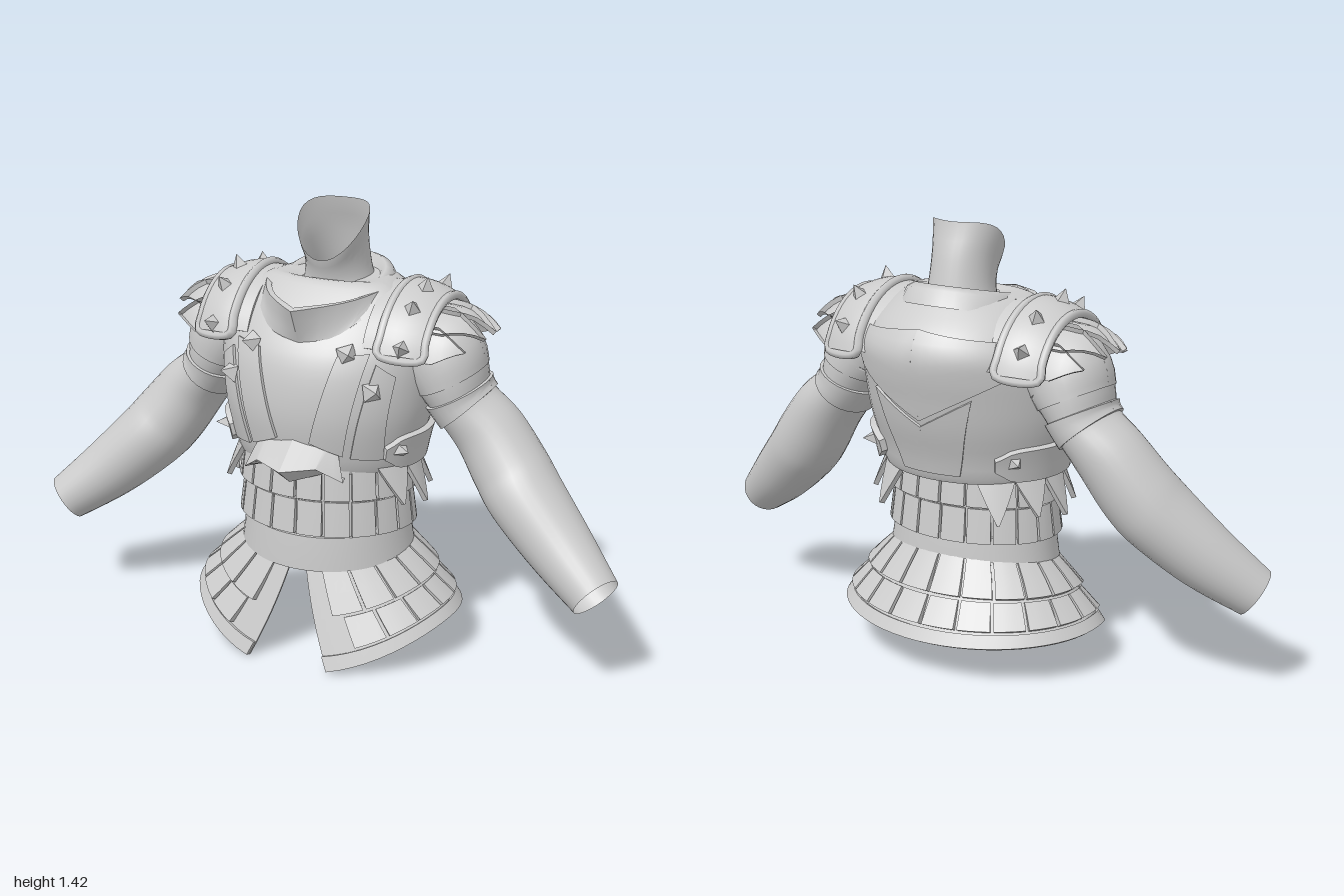
import * as THREE from 'three';
import { toCreasedNormals } from 'three/addons/utils/BufferGeometryUtils.js';

const V = (x, y, z) => new THREE.Vector3(x, y, z);
const lerp = THREE.MathUtils.lerp, clamp = THREE.MathUtils.clamp;
const material = new THREE.MeshStandardMaterial({ color: 0xcccccc, side: THREE.DoubleSide });

// Smooth interpolation through rows of numbers, t in 0..1
function at(rows, t) {
  const n = rows.length - 1, s = clamp(t, 0, 1) * n, i = Math.min(Math.floor(s), n - 1), f = s - i;
  const r = k => rows[clamp(k, 0, n)];
  return rows[0].map((_, c) => {
    const a = r(i - 1)[c], b = r(i)[c], d = r(i + 1)[c], e = r(i + 2)[c];
    return b + 0.5 * f * (d - a + f * (2 * a - 5 * b + 4 * d - e + f * (3 * (b - d) + e - a)));
  });
}

// Grid surface from f(i, j)
function lattice(f, nu, nv) {
  const pos = [], index = [];
  for (let j = 0; j <= nv; j++) for (let i = 0; i <= nu; i++) pos.push(...f(i, j).toArray());
  for (let j = 0; j < nv; j++) for (let i = 0; i < nu; i++) {
    const a = j * (nu + 1) + i, b = a + 1, c = a + nu + 1, d = c + 1;
    index.push(a, b, d, a, d, c);
  }
  const g = new THREE.BufferGeometry();
  g.setAttribute('position', new THREE.Float32BufferAttribute(pos, 3));
  g.setIndex(index);
  return toCreasedNormals(g, 0.6);
}
const sheet = (f, nu, nv) => lattice((i, j) => f(i / nu, j / nv), nu, nv);

function normalAt(f, u, v) {
  const e = 0.01;
  const du = f(Math.min(u + e, 1), v).sub(f(Math.max(u - e, 0), v));
  const dv = f(u, Math.min(v + e, 1)).sub(f(u, Math.max(v - e, 0)));
  return du.cross(dv).normalize();
}

// Plate raised by h above surface f, with side walls down to the base offset
function panel(f, nu, nv, h, base = -0.006) {
  const height = typeof h === 'function' ? h : () => h;
  return lattice((i, j) => {
    const u = clamp((i - 1) / nu, 0, 1), v = clamp((j - 1) / nv, 0, 1);
    const edge = i === 0 || j === 0 || i === nu + 2 || j === nv + 2;
    return f(u, v).addScaledVector(normalAt(f, u, v), edge ? base : height(u, v));
  }, nu + 2, nv + 2);
}
const sub = (f, u0, u1, v0, v1) => (u, v) => f(lerp(u0, u1, u), lerp(v0, v1, v));

// Oval ring surfaces: rows of y, half width, front z, back z, and an optional drop towards the front
const ringPoint = ([y, w, zf, zb, drop = 0], a) => {
  const c = Math.cos(a);
  return V(w * Math.sin(a), y - drop * c, (c > 0 ? zf : -zb) * c);
};
const TAU = Math.PI * 2;
const chestRows = [[0.66, 0.26, 0.19, -0.19], [0.64, 0.295, 0.225, -0.245], [0.72, 0.315, 0.25, -0.27],
  [0.82, 0.34, 0.265, -0.305], [0.92, 0.35, 0.26, -0.33], [1.0, 0.35, 0.24, -0.35], [1.06, 0.34, 0.205, -0.355],
  [1.12, 0.305, 0.16, -0.325], [1.18, 0.245, 0.1, -0.26], [1.21, 0.18, 0.06, -0.215], [1.2, 0.09, 0.03, -0.16]];
const chestAtY = y => {
  let i = 1;
  while (i < 8 && chestRows[i + 1][0] < y) i++;
  const f = (y - chestRows[i][0]) / (chestRows[i + 1][0] - chestRows[i][0]);
  return at(chestRows, (i + f) / (chestRows.length - 1));
};
const onChest = (x, y, back) => {
  const [, w, zf, zb] = chestAtY(y);
  return V(x, y, Math.sqrt(Math.max(0, 1 - (x / w) ** 2)) * (back ? zb : zf));
};
// Four-cornered patch on the chest: lower left, lower right, upper right, upper left
const chestPatch = (q, back) => (u, v) => onChest(
  lerp(lerp(q[0][0], q[1][0], u), lerp(q[3][0], q[2][0], u), v),
  lerp(lerp(q[0][1], q[1][1], u), lerp(q[3][1], q[2][1], u), v), back);

function stud(p, dir, r) {
  const g = new THREE.ConeGeometry(r, 0.045, 4).toNonIndexed();
  g.computeVertexNormals();
  g.translate(0, 0.016, 0);
  g.applyQuaternion(new THREE.Quaternion().setFromUnitVectors(V(0, 1, 0), dir.clone().normalize()));
  return g.translate(p.x, p.y, p.z);
}

function flipX(geometry) {
  const g = geometry.index ? geometry.toNonIndexed() : geometry.clone();
  g.scale(-1, 1, 1);
  for (const { array } of [g.attributes.position, g.attributes.normal])
    for (let i = 0; i < array.length; i += 9) for (let k = 0; k < 3; k++)
      [array[i + k], array[i + 6 + k]] = [array[i + 6 + k], array[i + k]];
  return g;
}

export function createModel() {
  const model = new THREE.Group();
  const add = (name, g) => {
    const m = new THREE.Mesh(g, material);
    m.name = name;
    model.add(m);
  };
  const pair = (name, g) => { add('left' + name, g); add('right' + name, flipX(g)); };

  // Neck, open at its slanted top
  const neckRows = [[0.125, -0.075, 0.125], [0.103, -0.07, 0.112], [0.1, -0.055, 0.105], [0.115, -0.032, 0.098]];
  add('neck', sheet((u, v) => {
    const a = u * TAU, [rx, cz, rz] = at(neckRows, v);
    const top = 1.35 - 0.08 * Math.cos(a) + 0.045 * Math.sin(a) ** 2;
    return V(rx * Math.sin(a), lerp(1.14, top, v), cz + rz * Math.cos(a));
  }, 32, 10));
  const collarProfile = [[0.195, -0.045], [0.178, 0.005], [0.155, 0.02], [0.14, 0.01], [0.11, -0.03]];
  add('innerCollar', new THREE.LatheGeometry(collarProfile.map(p => new THREE.Vector2(...p)), 32)
    .rotateX(0.22).translate(0, 1.195, -0.06));

  // Breastplate
  add('breastplate', sheet((u, v) => ringPoint(at(chestRows, v), u * TAU), 48, 30));

  // Pointed front collar
  const collarTop = [[0, 1.165, 0.255], [0.12, 1.175, 0.15], [0.185, 1.19, 0.03], [0.185, 1.2, -0.08]];
  const collarLow = [[0, 1.055, 0.205], [0.1, 1.07, 0.18], [0.18, 1.125, 0.1], [0.2, 1.155, -0.05]];
  add('frontCollar', panel((u, v) => {
    const k = u * 2 - 1, lo = at(collarLow, Math.abs(k)), hi = at(collarTop, Math.abs(k));
    return V(lerp(lo[0], hi[0], v) * Math.sign(k), lerp(lo[1], hi[1], v), lerp(lo[2], hi[2], v));
  }, 20, 3, 0.012));

  // Raised chest, back and waist-flap plates
  pair('BellyPlate', panel(chestPatch([[0.055, 0.75], [0.15, 0.71], [0.22, 1.03], [0.13, 1.02]]), 5, 8, 0.01));
  pair('FlankPlate', panel(chestPatch([[0.17, 0.7], [0.25, 0.69], [0.29, 0.96], [0.24, 1.0]]), 5, 8, 0.008));
  pair('BackYoke', panel(chestPatch([[0.27, 1.0], [0, 0.85], [0, 1.13], [0.25, 1.1]], true), 8, 8, 0.008));
  pair('BackPlate', panel(chestPatch([[0.1, 0.67], [0, 0.67], [0, 0.83], [0.17, 0.93]], true), 6, 6, 0.008));
  const flapIn = [[0, 0.755, 0.25], [0.1, 0.735, 0.235], [0.135, 0.725, 0.22]];
  const flapOut = [[0, 0.675, 0.352], [0.1, 0.685, 0.305], [0.17, 0.635, 0.255]];
  const flapBack = [[0, 0.62, 0.28], [0.1, 0.645, 0.22], [0.15, 0.63, 0.2]];
  const flapPoint = (rows, u) => {
    const i = u < 0.5 ? 0 : 1;
    return V(...rows[i]).lerp(V(...rows[i + 1]), u * 2 - i);
  };
  const flapRows = [flapBack, flapOut, flapIn];
  pair('WaistFlap', lattice((i, j) => flapPoint(flapRows[j], i / 6), 6, 2));

  // Side straps and chest studs
  const chestRound = (a, y) => ringPoint(chestAtY(y), a);
  pair('SideStrap', panel((u, v) => {
    const half = 0.05 * Math.max(0.35, 1 - Math.abs(u * 2 - 1) ** 8);
    return chestRound(lerp(0.95, 2.45, u), 0.715 + half * (v * 2 - 1));
  }, 20, 3, 0.02));
  for (const a of [1.12, 2.25]) {
    const p = chestRound(a, 0.72), d = V(p.x, 0, p.z * 1.4).normalize();
    pair('StrapStud', stud(p.addScaledVector(d, 0.02), d, 0.028));
  }
  for (const [x, y] of [[0.16, 1.03], [0.24, 0.92]]) {
    const p = onChest(x, y);
    pair('ChestStud', stud(p.addScaledVector(V(0, 0, 1), 0.01), V(x * 1.3, 0.1, 0.35), 0.038));
  }

  // Arms with sleeve and armband: x, y, z, radius in the arm's plane, radius across
  const armRows = [[0.27, 1.04, -0.05, 0.13, 0.13], [0.36, 0.99, -0.05, 0.135, 0.143], [0.4, 0.92, -0.055, 0.113, 0.143],
    [0.44, 0.845, -0.06, 0.093, 0.132], [0.525, 0.755, -0.06, 0.11, 0.122], [0.605, 0.65, -0.04, 0.12, 0.125],
    [0.67, 0.575, -0.012, 0.118, 0.128], [0.8, 0.455, 0.04, 0.104, 0.108], [0.938, 0.345, 0.105, 0.08, 0.082]];
  const arm = (u, v) => {
    const p = at(armRows, v), q0 = at(armRows, v - 0.04), q1 = at(armRows, v + 0.04);
    const t = V(q1[0] - q0[0], q1[1] - q0[1], q1[2] - q0[2]).normalize();
    const b = V(0, 0, 1).addScaledVector(t, -t.z).normalize(), n = b.clone().cross(t);
    const a = -u * TAU;
    return V(p[0], p[1], p[2]).addScaledVector(n, p[3] * Math.cos(a)).addScaledVector(b, -p[4] * Math.sin(a));
  };
  pair('Arm', sheet(arm, 28, 40));
  pair('Sleeve', panel(sub(arm, 0, 1, 0.06, 0.25), 28, 6, 0.004));
  pair('Armband', panel(sub(arm, 0, 1, 0.32, 0.4), 28, 3, 0.01));

  // Shoulder guards: arched plate, inner strap, rim, studs and ragged fringe
  const arch = (x, r, a) => V(x, 0.96 + r * Math.cos(a), -0.05 + r * Math.sin(a));
  const guard = (u, v) => arch(lerp(0.25, 0.38, u), lerp(0.247, 0.212, u * u), lerp(1.25, -1.32, v));
  pair('ShoulderPlate', panel(guard, 6, 24, 0.008));
  pair('ShoulderStrap', panel((u, v) => arch(lerp(0.195, 0.27, u), 0.24, lerp(1.2, -1.3, v)), 3, 24, 0.004));
  const rim = [];
  for (let i = 0; i <= 12; i++) rim.push(guard(1, i / 12));
  for (let i = 12; i >= 0; i--) rim.push(guard(0, i / 12));
  pair('ShoulderRim', new THREE.TubeGeometry(new THREE.CatmullRomCurve3(rim, true), 90, 0.015, 6, true));
  for (const a of [1.15, 0.6, 0.15, -0.5, -1.0])
    pair('ShoulderStud', stud(arch(0.32, 0.245, a), V(0.25, Math.cos(a), Math.sin(a)), 0.03));
  const fringe = [[0.36, 0.195], [0.42, 0.19], [0.48, 0.165], [0.535, 0.118]];
  for (let i = 0; i < 5; i++) {
    const mid = lerp(-1.0, 1.0, i / 4), len = [0.72, 0.92, 1, 0.92, 0.72][i];
    pair('ShoulderFringe', panel((u, v) => {
      const [x, r] = at(fringe, v * len);
      const width = 0.3 * (v < 0.35 ? 1 : lerp(1, 0.04, (v - 0.35) / 0.65));
      return arch(x, r, mid + width * (1 - u * 2));
    }, 3, 6, 0.01));
  }

  // Ragged fringe hanging below the breastplate at the sides
  for (let i = 0; i < 4; i++) {
    const mid = 1.15 + i * 0.43, drop = i % 2 ? 0.15 : 0.13;
    pair('WaistFringe', panel((u, v) => {
      const d = 1 - v, a = mid + 0.25 * lerp(1, 0.04, d) * (u * 2 - 1);
      return ringPoint([0.665 - d * drop, 0.285 + 0.05 * d, 0.225 + 0.03 * d, -0.225 - 0.05 * d], a);
    }, 3, 4, 0.01));
  }

  // Waist core, closed underneath, with two rows of plates and a tilted belt
  const waistRows = [[0.355, 0.001, 0.001, -0.001], [0.355, 0.262, 0.222, -0.19, 0.035], [0.55, 0.27, 0.222, -0.185], [0.68, 0.27, 0.22, -0.195]];
  add('waist', sheet((u, v) => ringPoint(waistRows[Math.round(v * 3)], u * TAU), 48, 3));
  const waist = (u, v) => ringPoint([lerp(0.43, 0.68, v), 0.272, 0.223, -0.187], u * TAU);
  const plates = (name, f, n, u0, u1, v0, v1) => {
    for (let i = 0; i < n; i++) {
      const a = lerp(u0, u1, (i + 0.05) / n), b = lerp(u0, u1, (i + 0.95) / n);
      add(name, panel(sub(f, a, b, v0, v1), 3, 2, (u, v) => 0.01 + 0.014 * (1 - v), 0.003));
    }
  };
  plates('waistPlateLower', waist, 20, 0, 1, 0.02, 0.46);
  plates('waistPlateUpper', waist, 20, 0, 1, 0.5, 0.95);
  const beltRows = [[0.35, 0.27, 0.228, -0.197, 0.035], [0.348, 0.288, 0.243, -0.21, 0.035], [0.395, 0.28, 0.24, -0.207, 0.025],
    [0.44, 0.275, 0.235, -0.203, 0.015], [0.44, 0.25, 0.21, -0.18, 0.015]];
  add('belt', sheet((u, v) => ringPoint(beltRows[Math.round(v * 4)], u * TAU), 48, 4));

  // Flared skirt, split at the front
  const skirt = (u, v) => {
    const t = 1 - v, gap = 0.1 + 0.22 * t, a = lerp(gap, TAU - gap, u), c = Math.cos(a);
    const low = 0.148 - (c > 0 ? 0.152 : 0.018) * c * c;
    return ringPoint([lerp(0.36 - 0.035 * c, low, t), lerp(0.265, 0.44, t ** 0.9), lerp(0.225, 0.32, t), lerp(-0.193, -0.332, t)], a);
  };
  add('skirt', panel(skirt, 56, 8, 0));
  add('skirtRim', panel(sub(skirt, 0, 1, 0, 0.15), 56, 2, 0.014, 0.003));
  plates('skirtPlateLower', skirt, 18, 0.045, 0.955, 0.18, 0.5);
  plates('skirtPlateUpper', skirt, 18, 0.03, 0.97, 0.53, 0.95);

  return model;
}
